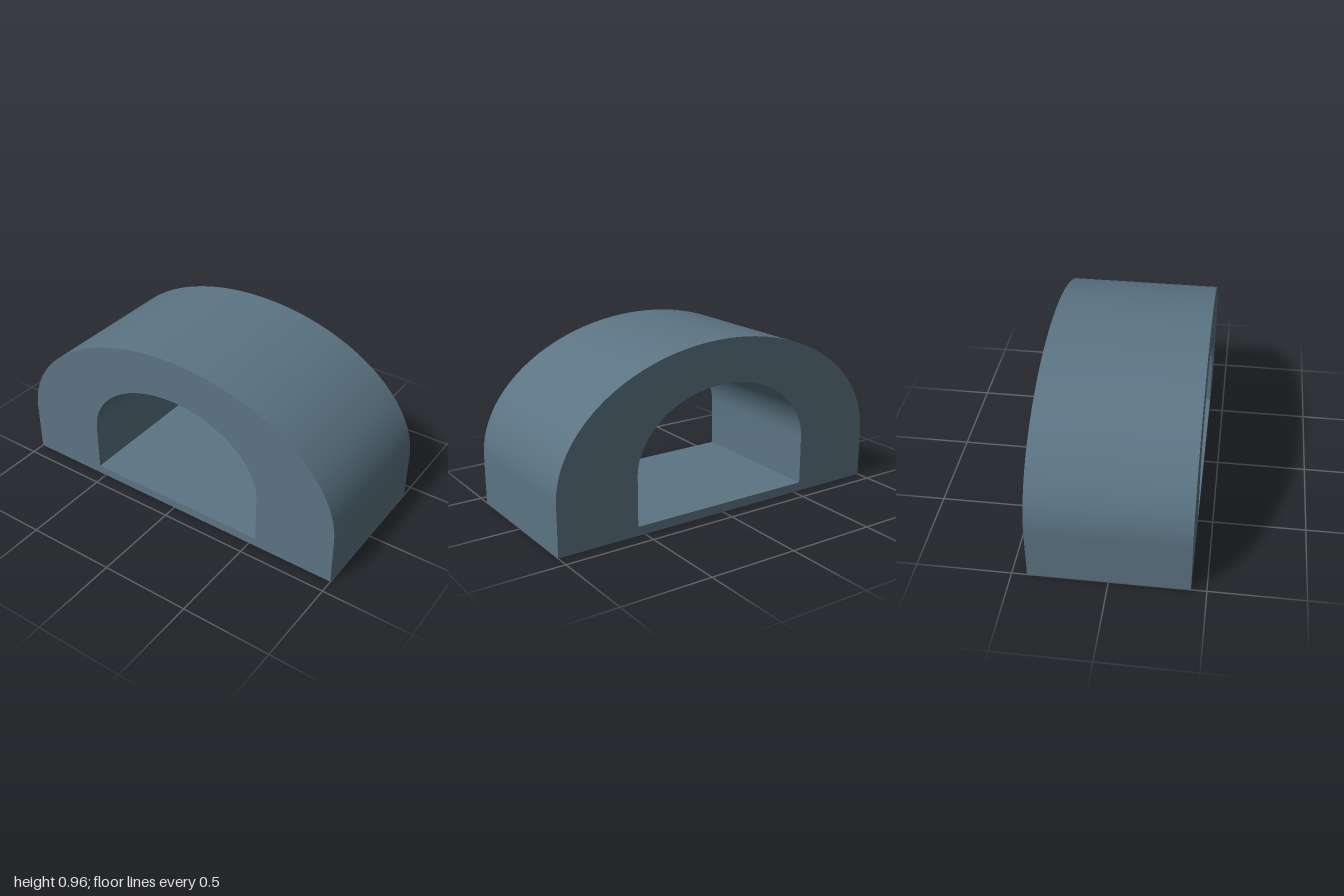
import * as THREE from 'three';
import { toCreasedNormals } from 'three/addons/utils/BufferGeometryUtils.js';

const DEPTH = 0.84;

// Straight legs from a flat base, closed by a half ellipse
function archOutline(path, halfWidth, base, spring, top) {
  path.moveTo(-halfWidth, base);
  path.lineTo(halfWidth, base);
  path.lineTo(halfWidth, spring);
  path.absellipse(0, spring, halfWidth, top - spring, 0, Math.PI, false, 0);
  path.lineTo(-halfWidth, base);
  return path;
}

export function createModel() {
  const slate = new THREE.MeshStandardMaterial({ color: 0x5b7483 });
  slate.name = 'slateBlue';

  // Arch body with a through opening above a thin floor
  const shape = archOutline(new THREE.Shape(), 1, 0, 0.28, 0.96);
  shape.holes.push(archOutline(new THREE.Path(), 0.54, 0.05, 0.32, 0.72));

  const extruded = new THREE.ExtrudeGeometry(shape, {
    depth: DEPTH,
    bevelEnabled: false,
    curveSegments: 48,
  });
  extruded.translate(0, 0, -DEPTH / 2);

  const arch = new THREE.Mesh(toCreasedNormals(extruded, Math.PI / 6), slate);
  arch.name = 'archTunnel';

  const model = new THREE.Group();
  model.name = 'archBlock';
  model.add(arch);
  return model;
}
